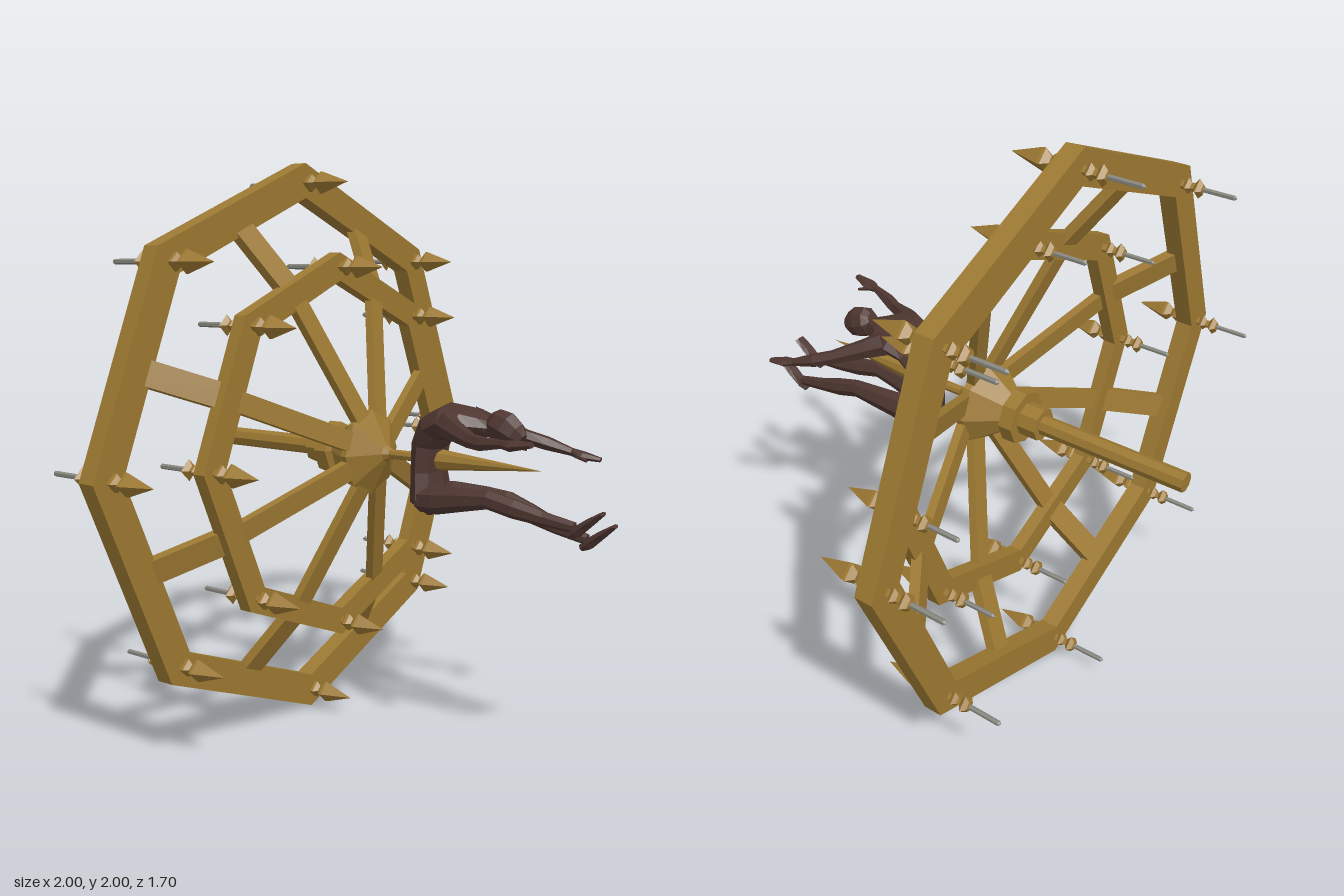
import * as THREE from 'three';

const gold = new THREE.MeshStandardMaterial({ color: 0x9c7832 });
gold.name = 'aged gold';
const iron = new THREE.MeshStandardMaterial({ color: 0x86867e });
iron.name = 'grey iron';
const skin = new THREE.MeshStandardMaterial({ color: 0x4e3630 });
skin.name = 'dark brown';

// Faceted mesh: every triangle keeps its own normal
function part(parent, name, geometry, material) {
  const geo = geometry.index ? geometry.toNonIndexed() : geometry;
  geo.computeVertexNormals();
  const mesh = new THREE.Mesh(geo, material);
  mesh.name = name;
  parent.add(mesh);
  return mesh;
}

// Turned shape along z; profile rows are [z, radius], from back to front
function turned(profile, sides) {
  const pts = profile.map(([z, r]) => new THREE.Vector2(r, z));
  return new THREE.LatheGeometry(pts, sides).rotateX(Math.PI / 2);
}

// Octagonal ring with a corner at the top
function ringGeometry(outer, inner, back, depth) {
  const corners = (r) => Array.from({ length: 8 }, (_, i) =>
    new THREE.Vector2(r * Math.cos(i * Math.PI / 4), r * Math.sin(i * Math.PI / 4)));
  const shape = new THREE.Shape(corners(outer));
  shape.holes.push(new THREE.Path(corners(inner).reverse()));
  return new THREE.ExtrudeGeometry(shape, { depth, bevelEnabled: false }).translate(0, 0, back);
}

// Body part lofted through oval sections: rows are [x, y, z, half width, half thickness]
function loft(rows, sides = 8) {
  const centres = rows.map((r) => new THREE.Vector3(r[0], r[1], r[2]));
  const pos = [], index = [], n = rows.length;
  rows.forEach((row, i) => {
    const t = centres[Math.min(i + 1, n - 1)].clone().sub(centres[Math.max(i - 1, 0)]).normalize();
    const side = new THREE.Vector3(1, 0, 0).addScaledVector(t, -t.x).normalize();
    const up = t.clone().cross(side);
    for (let j = 0; j < sides; j++) {
      const a = (j / sides) * Math.PI * 2;
      const p = centres[i].clone()
        .addScaledVector(side, Math.cos(a) * row[3])
        .addScaledVector(up, Math.sin(a) * row[4]);
      pos.push(p.x, p.y, p.z);
    }
  });
  for (let i = 0; i < n - 1; i++) {
    for (let j = 0; j < sides; j++) {
      const k = (j + 1) % sides;
      const a = i * sides + j, b = i * sides + k, c = b + sides, d = a + sides;
      index.push(a, b, c, a, c, d);
    }
  }
  const last = (n - 1) * sides;
  for (let j = 1; j < sides - 1; j++) {
    index.push(0, j + 1, j, last, last + j, last + j + 1);
  }
  const geo = new THREE.BufferGeometry();
  geo.setAttribute('position', new THREE.Float32BufferAttribute(pos, 3));
  geo.setIndex(index);
  return geo;
}

// Flat bar in the x-z plane from [r0, z0] to [r1, z1]
function bar(parent, name, [r0, z0], [r1, z1], width, thick) {
  const length = Math.hypot(r1 - r0, z1 - z0);
  const mesh = part(parent, name, new THREE.BoxGeometry(length, width, thick), gold);
  mesh.position.set((r0 + r1) / 2, 0, (z0 + z1) / 2);
  mesh.rotation.y = Math.atan2(z0 - z1, r1 - r0);
}

// Four-sided finial with an iron pin behind
const finialProfile = [[-0.115, 0], [-0.11, 0.02], [-0.095, 0.036], [-0.08, 0.016], [-0.068, 0.016],
  [-0.055, 0.03], [-0.042, 0.016], [0.035, 0.016], [0.048, 0.03], [0.062, 0.03], [0.078, 0.016],
  [0.098, 0.038], [0.108, 0.038], [0.22, 0]];

function finial(parent, radius, angle, z, size) {
  const g = new THREE.Group();
  g.name = 'finial';
  part(g, 'finialSpear', turned(finialProfile, 4), gold);
  part(g, 'finialPin', turned([[-0.235, 0], [-0.225, 0.009], [-0.1, 0.009]], 6), iron);
  g.position.set(radius * Math.cos(angle), radius * Math.sin(angle), z);
  g.scale.set(1, 1, size);
  parent.add(g);
}

function buildWheel() {
  const wheel = new THREE.Group();
  wheel.name = 'wheel';
  part(wheel, 'outerRing', ringGeometry(1, 0.88, -0.416, 0.064), gold);
  part(wheel, 'innerRing', ringGeometry(0.69, 0.592, -0.247, 0.047), gold);

  for (let i = 0; i < 8; i++) {
    const corner = i * Math.PI / 4;
    finial(wheel, 0.93, corner, -0.385, 1);
    finial(wheel, 0.64, corner, -0.225, 0.8 + 0.15);

    // Spokes meet the middle of each ring side
    const spoke = new THREE.Group();
    spoke.name = 'spoke';
    spoke.rotation.z = corner + Math.PI / 8;
    bar(spoke, 'innerSpoke', [0.08, -0.06], [0.59, -0.225], 0.07, 0.03);
    bar(spoke, 'outerSpoke', [0.58, -0.215], [0.85, -0.385], 0.085, 0.035);
    wheel.add(spoke);
  }

  // Hub, axle and the long spike in front
  part(wheel, 'hub', turned([[-0.32, 0], [-0.32, 0.058], [-0.25, 0.058], [-0.25, 0.095], [-0.2, 0.095],
    [-0.19, 0.07], [-0.09, 0.145], [-0.065, 0.15], [0, 0.03], [0.02, 0.018], [0.02, 0]], 8), gold);
  part(wheel, 'axle', turned([[-0.85, 0], [-0.85, 0.034], [-0.3, 0.034]], 8), gold);
  part(wheel, 'spikeShaft', turned([[0, 0.017], [0.22, 0.017]], 8), gold);
  part(wheel, 'spike', turned([[0.2, 0], [0.21, 0.038], [0.61, 0]], 8), gold);
  return wheel;
}

function buildFigure() {
  const figure = new THREE.Group();
  figure.name = 'curledFigure';
  // Back curls from the pelvis up and over to the neck
  part(figure, 'torso', loft([
    [0, -0.17, 0.22, 0.06, 0.035], [0, -0.13, 0.185, 0.095, 0.058], [0, -0.04, 0.178, 0.085, 0.05],
    [0, 0.05, 0.182, 0.085, 0.052], [0, 0.11, 0.215, 0.1, 0.06], [0, 0.137, 0.275, 0.115, 0.062],
    [0, 0.135, 0.34, 0.11, 0.052], [0, 0.13, 0.385, 0.06, 0.04], [0, 0.125, 0.43, 0.03, 0.03]]), skin);
  part(figure, 'head', loft([
    [0, 0.15, 0.415, 0.025, 0.03], [0, 0.14, 0.435, 0.045, 0.052], [0, 0.125, 0.475, 0.05, 0.058],
    [0, 0.105, 0.51, 0.042, 0.046], [0, 0.09, 0.535, 0.02, 0.025]]), skin);

  const arms = {
    leftArm: [[0.08, 0.135, 0.3, 0.045, 0.045], [0.12, 0.115, 0.35, 0.034, 0.036],
      [0.185, 0.075, 0.45, 0.024, 0.025], [0.215, 0.055, 0.51, 0.025, 0.024],
      [0.24, 0.03, 0.59, 0.014, 0.014], [0.245, 0.02, 0.63, 0.03, 0.014], [0.255, 0.01, 0.69, 0.012, 0.008]],
    rightArm: [[-0.08, 0.135, 0.3, 0.045, 0.045], [-0.12, 0.125, 0.35, 0.034, 0.036],
      [-0.175, 0.105, 0.45, 0.024, 0.025], [-0.205, 0.105, 0.51, 0.025, 0.024],
      [-0.235, 0.115, 0.6, 0.014, 0.014], [-0.245, 0.115, 0.64, 0.03, 0.018], [-0.255, 0.125, 0.71, 0.012, 0.01]],
  };
  for (const [name, rows] of Object.entries(arms)) {
    part(figure, name, loft(rows, 6), skin);
    // Thumb on the inner side of the hand
    const s = Math.sign(rows[0][0]), [x, y, z] = rows[5];
    part(figure, 'thumb', loft([[x - s * 0.02, y, z - 0.015, 0.01, 0.009],
      [x - s * 0.034, y - 0.012, z + 0.03, 0.005, 0.005]], 5), skin);
  }

  // Legs stretch forward, the left one hanging lower
  for (const [s, drop] of [[1, 0.055], [-1, 0]]) {
    const side = s > 0 ? 'left' : 'right';
    part(figure, side + 'Leg', loft([
      [s * 0.05, -0.13, 0.18, 0.045, 0.045], [s * 0.055, -0.125, 0.25, 0.047, 0.05],
      [s * 0.062, -0.11 - drop * 0.2, 0.36, 0.038, 0.04], [s * 0.062, -0.1 - drop * 0.4, 0.45, 0.032, 0.032],
      [s * 0.055, -0.12 - drop * 0.6, 0.54, 0.034, 0.032], [s * 0.048, -0.14 - drop * 0.8, 0.64, 0.025, 0.024],
      [s * 0.045, -0.155 - drop, 0.75, 0.018, 0.018]], 7), skin);
    part(figure, side + 'Foot', loft([
      [s * 0.045, -0.185 - drop, 0.732, 0.014, 0.012], [s * 0.045, -0.17 - drop, 0.755, 0.02, 0.02],
      [s * 0.045, -0.13 - drop, 0.805, 0.025, 0.014], [s * 0.045, -0.1 - drop, 0.845, 0.022, 0.007]], 6), skin);
  }
  return figure;
}

export function createModel() {
  const model = new THREE.Group();
  model.name = 'spikedWheel';
  const wheel = buildWheel(), figure = buildFigure();
  wheel.position.y = figure.position.y = 1;
  model.add(wheel, figure);
  return model;
}
